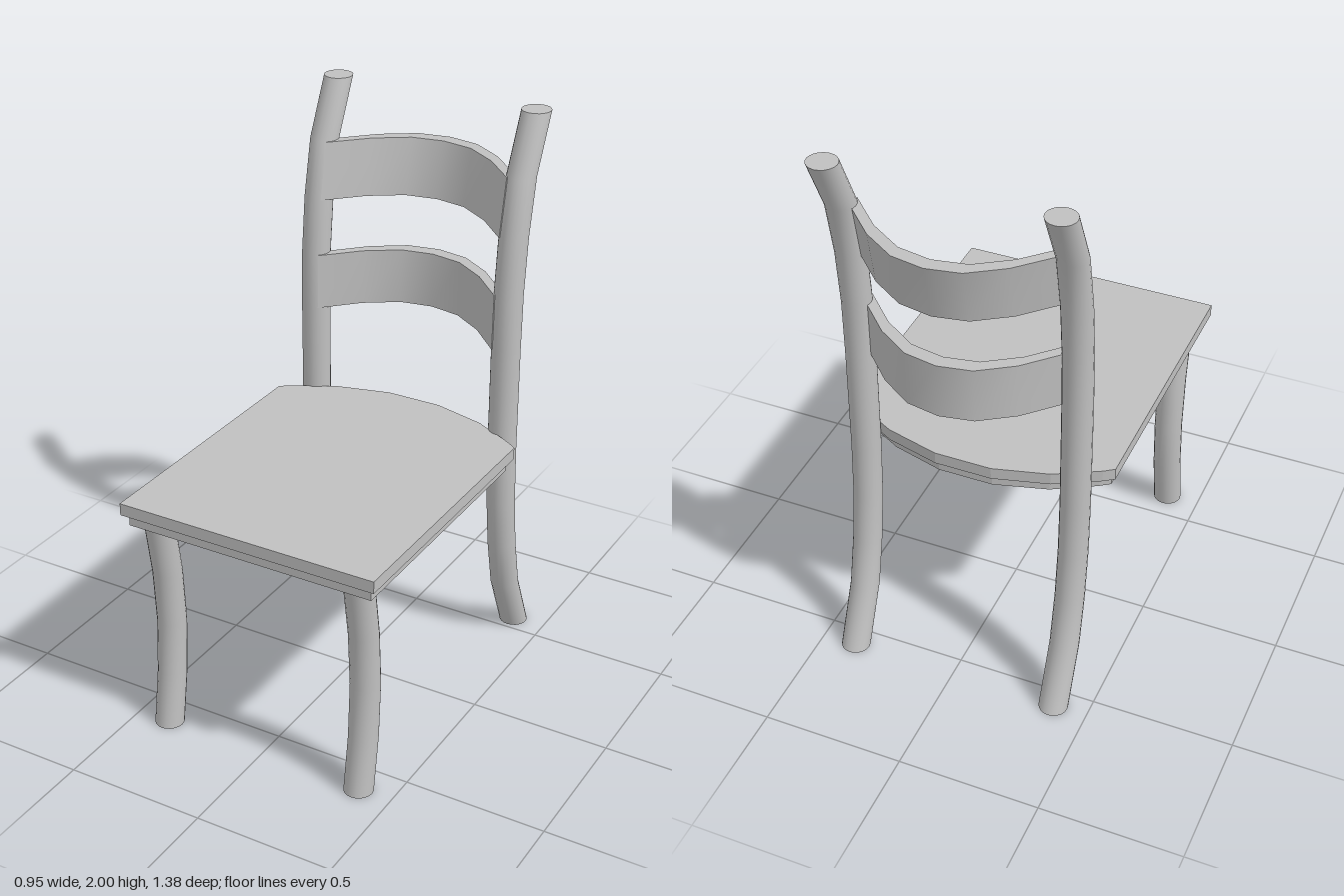
import * as THREE from 'three';

const grey = new THREE.MeshStandardMaterial({ color: 0xc0c0c0 });
grey.name = 'plain grey';

// Centre lines as [y, z], from top to bottom
const backPath = [[2, -0.567], [1.8, -0.47], [1.6, -0.428], [1.4, -0.407], [1.2, -0.402], [0.8, -0.402],
  [0.6, -0.41], [0.41, -0.432], [0.22, -0.472], [0, -0.567]];
const frontPath = [[0.8, 0.61], [0.6, 0.579], [0.4, 0.567], [0.2, 0.579], [0, 0.61]];

// Round post whose horizontal rings follow a centre line
function postGeometry(path) {
  const sides = 20, rows = path.length - 1;
  const g = new THREE.CylinderGeometry(0.051, 0.051, 1, sides, rows);
  const p = g.attributes.position;
  for (let i = 0; i < p.count; i++) {
    const [y, z] = path[Math.round((0.5 - p.getY(i)) * rows)];
    p.setY(i, y);
    p.setZ(i, p.getZ(i) + z);
  }
  g.computeVertexNormals();
  // Blend the normals across the seam
  const n = g.attributes.normal, a = new THREE.Vector3(), b = new THREE.Vector3();
  for (let r = 0; r <= rows; r++) {
    const i = r * (sides + 1), j = i + sides;
    a.fromBufferAttribute(n, i).add(b.fromBufferAttribute(n, j)).normalize();
    n.setXYZ(i, a.x, a.y, a.z);
    n.setXYZ(j, a.x, a.y, a.z);
  }
  return g;
}

// Curved back slat that leans with the posts
function slatGeometry(yLow, yHigh, zLow, zHigh) {
  const width = 0.69, bow = [-0.195, -0.174, -0.098, 0.02];
  const g = new THREE.BoxGeometry(width, 1, 0.05, 6, 1, 1);
  const p = g.attributes.position;
  for (let i = 0; i < p.count; i++) {
    const top = p.getY(i) > 0;
    const step = Math.round(Math.abs(p.getX(i)) / (width / 6));
    p.setY(i, top ? yHigh : yLow);
    p.setZ(i, p.getZ(i) + bow[step] + (top ? zHigh : zLow));
  }
  g.computeVertexNormals();
  return g;
}

// Seat board with a rounded rear edge, inset all round
function boardGeometry(inset, y, height) {
  const rear = [[0.475, -0.295], [0.44, -0.32], [0.29, -0.4], [0.1, -0.45]];
  const right = [[0.475, 0.69], ...rear].map(([x, z]) => [x * (1 - inset / 0.475), z > 0 ? z - inset : z + inset]);
  const outline = [...right, ...right.map(([x, z]) => [-x, z]).reverse()];
  const shape = new THREE.Shape(outline.map(([x, z]) => new THREE.Vector2(x, -z)));
  const g = new THREE.ExtrudeGeometry(shape, { depth: height, bevelEnabled: false });
  return g.rotateX(-Math.PI / 2).translate(0, y, 0);
}

export function createModel() {
  const chair = new THREE.Group();
  chair.name = 'chair';
  const add = (name, geometry, x = 0) => {
    const mesh = new THREE.Mesh(geometry, grey);
    mesh.name = name;
    mesh.position.x = x;
    chair.add(mesh);
  };

  // Seat
  add('seatTop', boardGeometry(0, 0.84, 0.043));
  add('seatFrame', boardGeometry(0.02, 0.797, 0.043));

  // Legs; the rear pair continues up as the back posts
  const backPost = postGeometry(backPath), frontLeg = postGeometry(frontPath);
  for (const [side, x] of [['left', 0.378], ['right', -0.378]]) {
    add(side + 'BackPost', backPost, x);
    add(side + 'FrontLeg', frontLeg, x);
  }

  // Back slats
  add('lowerSlat', slatGeometry(1.2, 1.4, -0.402, -0.407));
  add('upperSlat', slatGeometry(1.6, 1.8, -0.428, -0.47));
  return chair;
}
